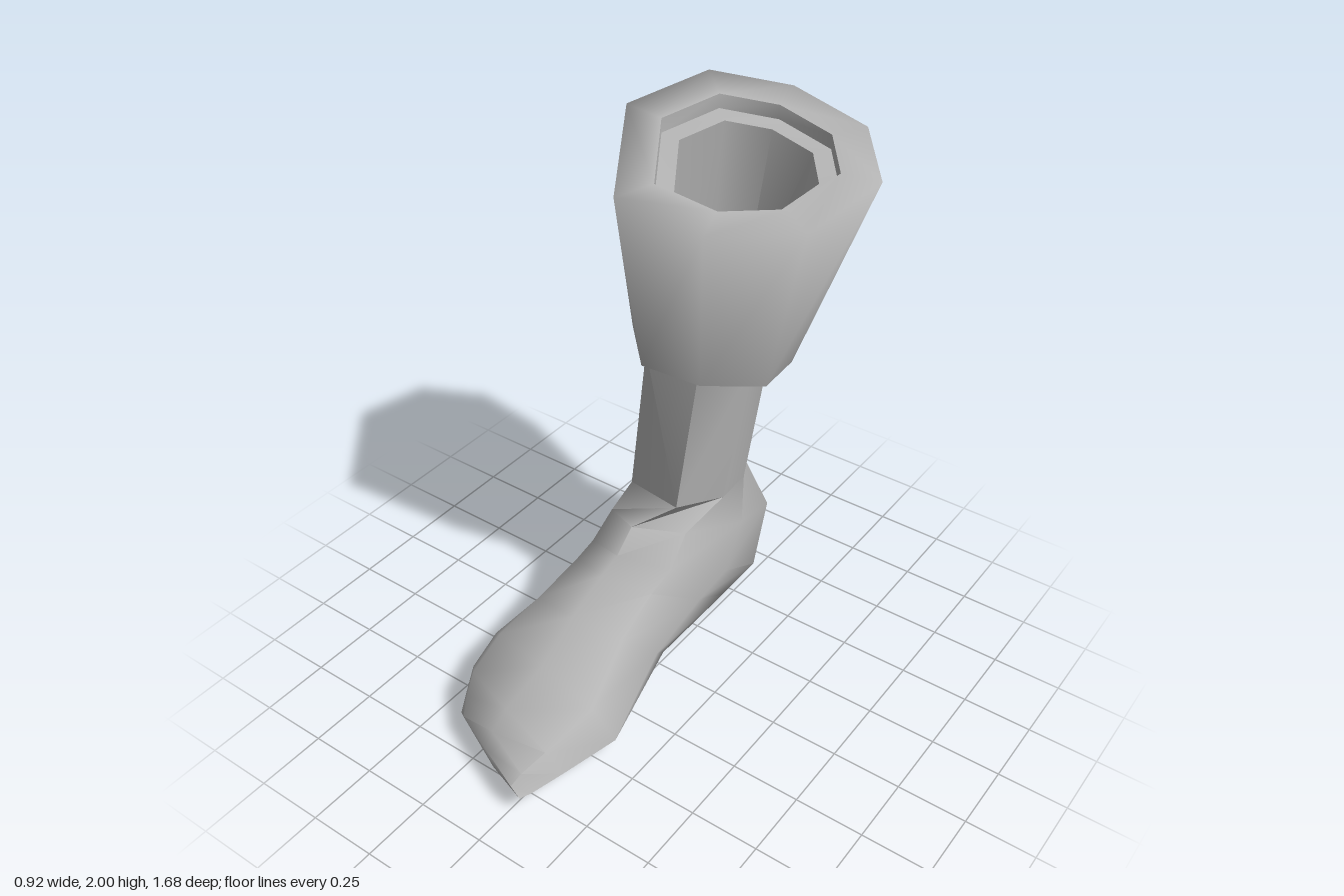
import * as THREE from 'three';
import { toCreasedNormals } from 'three/addons/utils/BufferGeometryUtils.js';

// Skin a list of equal-length rings of [x, y, z] points
function loft(rings, crease) {
  const n = rings[0].length, pos = [], index = [];
  rings.forEach(r => r.forEach(p => pos.push(...p)));
  for (let k = 0; k < rings.length - 1; k++) {
    for (let i = 0; i < n; i++) {
      const j = (i + 1) % n, a = k * n + i, b = k * n + j, c = b + n, d = a + n;
      index.push(a, b, c, a, c, d);
    }
  }
  const g = new THREE.BufferGeometry();
  g.setAttribute('position', new THREE.Float32BufferAttribute(pos, 3));
  g.setIndex(index);
  return toCreasedNormals(g, crease);
}

// Tilted oval ring between a front/top point and a back/bottom point
function oval([ty, tz, by, bz, left, right, boxy, skew = 0, roll = 0]) {
  const cx = (left + right) / 2, hx = (right - left) / 2;
  const pow = v => Math.abs(v) < 1e-6 ? 0 : Math.sign(v) * Math.abs(v) ** boxy;
  return Array.from({ length: 8 }, (_, i) => {
    const t = i / 8 * Math.PI * 2;
    const s = pow(Math.sin(t)), f = (1 - pow(Math.cos(t))) / 2;
    const level = 4 * f * (1 - f);
    return [cx + hx * s, by + (ty - by) * f + roll * hx * s * level, bz + (tz - bz) * f + skew * hx * s];
  });
}

const collapse = (ring, p) => ring.map(() => p);

// Scale a ring about a point, then lower it
const shrink = (ring, s, [cx, cy, cz], drop = 0) => ring.map(([x, y, z]) =>
  [cx + (x - cx) * s, cy + (y - cy) * s - drop, cz + (z - cz) * s]);

export function createModel() {
  const model = new THREE.Group();
  model.name = 'boot';
  const grey = new THREE.MeshStandardMaterial({ color: 0xb4b4b4, side: THREE.DoubleSide });
  grey.name = 'grey';
  const add = (name, geometry) => {
    const mesh = new THREE.Mesh(geometry, grey);
    mesh.name = name;
    model.add(mesh);
  };

  // Octagonal rings of the cuff and shaft
  const rim = [
    [-0.06, 1.96, -0.845], [0.25, 1.91, -0.80], [0.455, 1.88, -0.53], [0.37, 1.80, -0.24],
    [0.13, 1.80, -0.04], [-0.17, 1.86, 0], [-0.42, 1.96, -0.40], [-0.31, 2.0, -0.71],
  ];
  const hem = [
    [-0.10, 1.18, -0.72], [0.02, 1.17, -0.69], [0.19, 1.14, -0.51], [0.20, 1.14, -0.33],
    [0.07, 1.20, -0.13], [-0.13, 1.23, -0.08], [-0.33, 1.20, -0.30], [-0.25, 1.20, -0.62],
  ];
  const shaftTop = [
    [-0.12, 1.21, -0.66], [-0.02, 1.20, -0.61], [0.11, 1.17, -0.50], [0.125, 1.17, -0.36],
    [0.03, 1.21, -0.18], [-0.17, 1.23, -0.16], [-0.295, 1.21, -0.38], [-0.22, 1.21, -0.60],
  ];
  const ankle = [
    [-0.16, 0.58, -0.70], [-0.08, 0.58, -0.63], [0.03, 0.59, -0.49], [0.045, 0.60, -0.33],
    [-0.02, 0.65, -0.13], [-0.26, 0.62, -0.19], [-0.335, 0.60, -0.38], [-0.26, 0.58, -0.60],
  ];
  const rimCentre = [0.03, 1.9, -0.42];
  const innerRim = shrink(rim, 0.7, rimCentre);
  const step = shrink(rim, 0.7, rimCentre, 0.05);
  const ledge = shrink(rim, 0.55, rimCentre, 0.05);

  // Cuff: flared sleeve rolled softly over the rim, with its underside
  add('cuff', loft([innerRim, rim, hem], 2.2));
  add('cuffUnderside', loft([hem, shaftTop], 0.9));
  // Lining: stepped mouth running down inside the shaft
  add('lining', loft([collapse(ankle, [-0.14, 0.60, -0.42]), ankle, shaftTop, ledge, step, innerRim], 0.9));
  // Shaft: slightly leaning tube between cuff and ankle
  add('shaft', loft([shaftTop, ankle], 1.2));

  // Foot: rings turn from the ankle round the heel and run on to the slanted toes
  const footRings = [ankle, ...[
    [0.57, -0.03, 0.27, -0.79, -0.345, 0.06, 0.9, -0.15],
    [0.50, 0.06, 0.03, -0.67, -0.35, 0.07, 0.75, -0.1],
    [0.45, 0.13, 0.01, -0.47, -0.37, 0.06, 0.75],
    [0.37, 0.29, 0.045, -0.03, -0.41, 0.085, 0.8],
    [0.28, 0.47, 0.005, 0.36, -0.46, 0.15, 0.75, 0.15, -0.15],
    [0.21, 0.65, 0.04, 0.55, -0.44, 0.1, 0.65, 0.3, -0.1],
    [0.16, 0.72, 0.01, 0.685, -0.41, 0.06, 0.6, 0.42],
  ].map(oval)];
  // Blunt toe end closed from the last ring
  const last = footRings[footRings.length - 1];
  footRings.push(shrink(last, 0.88, [-0.1, 0.08, 0.74]).map(([x, y, z]) => [x, 0.08 + (y - 0.08) * 0.55, z + 0.045]));
  footRings.push(collapse(last, [-0.12, 0.08, 0.785]));
  add('foot', loft(footRings, 1.1));

  return model;
}
